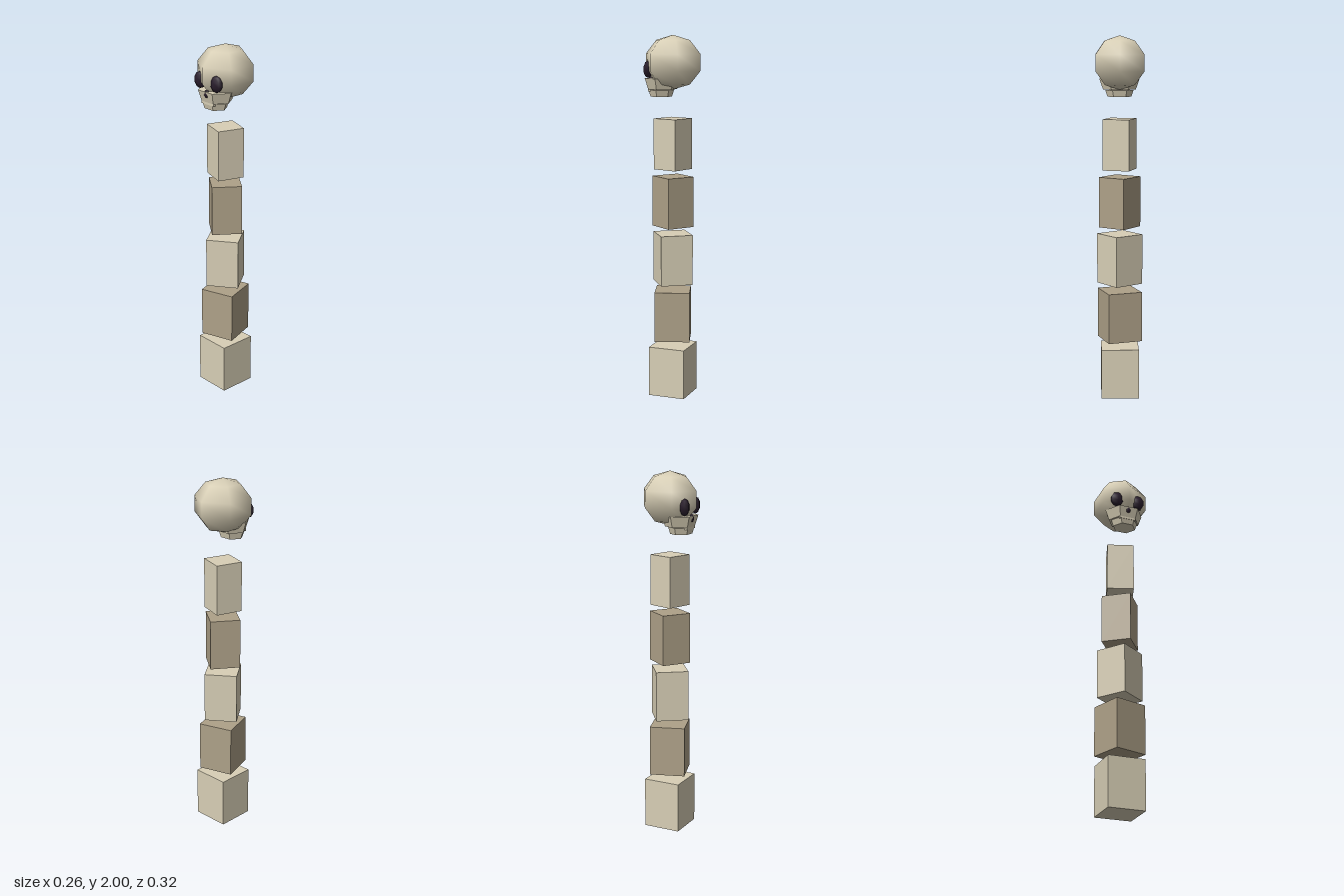
import * as THREE from 'three';

export function createModel() {
  const model = new THREE.Group();
  const mat = (name, color) => {
    const m = new THREE.MeshStandardMaterial({ color });
    m.name = name;
    return m;
  };
  const bone = mat('bone', 0xd8cfb6);
  const darkBone = mat('darkBone', 0xaea188);
  const socketDark = mat('socketDark', 0x2a1e2d);

  const add = (parent, name, geometry, material, x, y, z) => {
    const mesh = new THREE.Mesh(geometry, material);
    mesh.name = name;
    mesh.position.set(x, y, z);
    parent.add(mesh);
    return mesh;
  };

  // Column of shrinking blocks, each turned 18 degrees more than the last
  const column = new THREE.Group();
  column.name = 'column';
  model.add(column);
  for (let i = 0; i < 5; i++) {
    const side = 0.208 - 0.0147 * i;
    const block = add(column, 'block' + (i + 1), new THREE.BoxGeometry(side, 0.278, side),
      i % 2 ? darkBone : bone, 0, 0.14 + 0.318 * i, 0);
    block.rotation.y = i * Math.PI / 10;
  }

  const skull = new THREE.Group();
  skull.name = 'skull';
  model.add(skull);

  // Six-sided ball with one corner line facing forward
  const ball = (rx, ry, rz) =>
    new THREE.SphereGeometry(1, 6, 5, Math.PI / 6).scale(rx, ry, rz);
  // Six-sided tapered ring piece with corners to the sides and flat facets
  const hexPiece = (top, bottom, height, depthScale) => {
    const g = new THREE.CylinderGeometry(top, bottom, height, 6, 1, false, Math.PI / 6)
      .scale(1, 1, depthScale).toNonIndexed();
    g.computeVertexNormals();
    return g;
  };

  add(skull, 'cranium', ball(0.159, 0.146, 0.166), bone, 0, 1.854, 0);
  add(skull, 'upperJaw', hexPiece(0.111, 0.09, 0.06, 0.86), bone, 0, 1.738, 0.06);
  add(skull, 'teeth', new THREE.BoxGeometry(0.095, 0.016, 0.03), bone, 0, 1.704, 0.112);
  add(skull, 'lowerJaw', hexPiece(0.078, 0.066, 0.036, 0.87), bone, 0, 1.686, 0.068);

  // Eye sockets and nose
  for (const s of [1, -1]) {
    add(skull, s > 0 ? 'leftEye' : 'rightEye', ball(0.039, 0.046, 0.026), socketDark,
      s * 0.063, 1.817, 0.12);
  }
  add(skull, 'nose', ball(0.018, 0.023, 0.014), socketDark, 0, 1.754, 0.13);

  return model;
}
